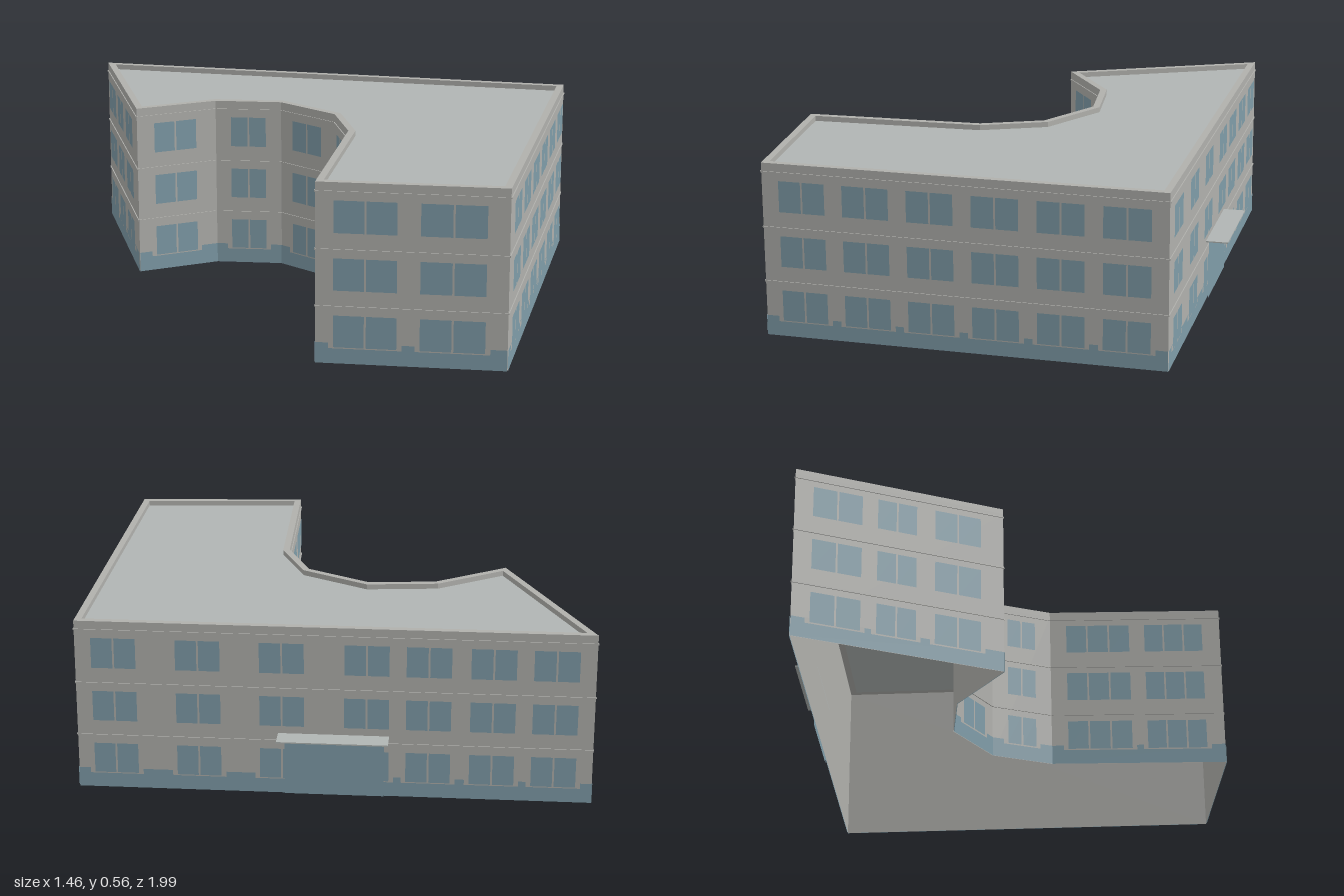
import * as THREE from 'three';

const wallMat = new THREE.MeshStandardMaterial({ color: 0xb0b0ac, side: THREE.DoubleSide });
wallMat.name = 'wall grey';
const glassMat = new THREE.MeshStandardMaterial({ color: 0x7f9ca8, side: THREE.DoubleSide });
glassMat.name = 'glass blue';
const roofMat = new THREE.MeshStandardMaterial({ color: 0xb0b5b3, side: THREE.DoubleSide });
roofMat.name = 'roof grey';

const ROOF = 0.545, TOP = 0.562, RIM = 0.022;
const SILLS = [0.052, 0.23, 0.408], WIN_H = 0.1;

// Footprint corners (x, z), each with the windows of the wall to the next corner:
// [start fraction, end fraction, panes]
const corners = [
  { p: [0.07, -0.995], wins: [[0.08, 0.32, 2], [0.385, 0.58, 2], [0.66, 0.89, 2]] },
  { p: [-0.38, -0.485], wins: [[0.2, 0.75, 2]] },
  { p: [-0.145, -0.34], wins: [[0.22, 0.78, 2]] },
  { p: [-0.035, -0.15], wins: [[0.22, 0.78, 2]] },
  { p: [-0.06, 0.085], wins: [[0.24, 0.74, 2]] },
  { p: [-0.205, 0.24], wins: [[0.09, 0.47, 3], [0.55, 0.9, 3]] },
  { p: [-0.728, 0.485], wins: [[0.09, 0.43, 2], [0.54, 0.89, 2]] },
  { p: [-0.46, 0.99], wins: [0, 1, 2, 3, 4, 5].map(i => [0.041 + i * 0.16, 0.161 + i * 0.16, 2]) },
  { p: [0.722, 0.495], wins: [0.03, 0.193, 0.355, 0.519, 0.638, 0.761, 0.88].map(t => [t, t + 0.09, 2]), entrance: true },
];

function add(parent, name, geometry, material) {
  const mesh = new THREE.Mesh(geometry, material);
  mesh.name = name;
  parent.add(mesh);
  return mesh;
}

// Upright plate between x0..x1 and y0..y1, set z in front of the wall
function plate(parent, name, material, x0, x1, y0, y1, z) {
  const mesh = add(parent, name, new THREE.PlaneGeometry(x1 - x0, y1 - y0), material);
  mesh.position.set((x0 + x1) / 2, (y0 + y1) / 2, z);
}

// Mitred inward offset of the footprint; shape y is -z
function inset(points, d) {
  const n = points.length;
  const normal = (a, b) => new THREE.Vector2(a.y - b.y, b.x - a.x).normalize();
  return points.map((p, i) => {
    const n1 = normal(points[(i + n - 1) % n], p);
    const n2 = normal(p, points[(i + 1) % n]);
    return n1.clone().add(n2).multiplyScalar(d / (1 + n1.dot(n2))).add(p);
  });
}

function buildWall(a, b, wins, entrance) {
  const wall = new THREE.Group();
  const dx = b[0] - a[0], dz = b[1] - a[1], len = Math.hypot(dx, dz);
  wall.position.set(a[0], 0, a[1]);
  wall.rotation.y = Math.atan2(-dz, dx);
  plate(wall, 'wallPanel', wallMat, 0, len, 0, ROOF, 0);
  plate(wall, 'baseBand', glassMat, 0, len, 0, 0.065, 0.002);

  // String courses between floors
  for (const y of [0.178, 0.355, 0.533]) {
    const course = add(wall, 'stringCourse', new THREE.BoxGeometry(len, 0.005, 0.003), wallMat);
    course.position.set(len / 2, y, 0.0015);
  }

  // Windows split into panes, with a plain surround cutting into the base band
  for (const [t0, t1, panes] of wins) {
    const x0 = t0 * len, x1 = t1 * len, w = (x1 - x0) / panes;
    plate(wall, 'windowSurround', wallMat, x0 - 0.012, x1 + 0.012, 0.048, 0.066, 0.0035);
    for (const y of SILLS)
      for (let i = 0; i < panes; i++)
        plate(wall, 'windowPane', glassMat, x0 + i * w + 0.003, x0 + (i + 1) * w - 0.003, y, y + WIN_H, 0.005);
  }

  // Glazed entrance under a flat canopy
  if (entrance) {
    plate(wall, 'entranceGlass', glassMat, 0.405 * len, 0.598 * len, 0, 0.2, 0.0065);
    const canopy = add(wall, 'canopy', new THREE.BoxGeometry(0.35, 0.004, 0.072), roofMat);
    canopy.position.set(0.5 * len, 0.202, 0.036);
  }
  return wall;
}

export function createModel() {
  const model = new THREE.Group();
  model.name = 'building';

  corners.forEach((c, i) => {
    const wall = buildWall(c.p, corners[(i + 1) % corners.length].p, c.wins, c.entrance);
    wall.name = 'wall' + (i + 1);
    model.add(wall);
  });

  // Parapet ring and the roof sunk inside it
  const outer = corners.map(c => new THREE.Vector2(c.p[0], -c.p[1]));
  const inner = inset(outer, RIM);
  const ring = new THREE.Shape(outer);
  ring.holes.push(new THREE.Path(inner));
  const parapet = new THREE.ExtrudeGeometry(ring, { depth: TOP - ROOF, bevelEnabled: false });
  add(model, 'parapet', parapet.rotateX(-Math.PI / 2), wallMat).position.y = ROOF;
  const roof = new THREE.ShapeGeometry(new THREE.Shape(inner)).rotateX(-Math.PI / 2);
  add(model, 'roof', roof, roofMat).position.y = ROOF;
  return model;
}
